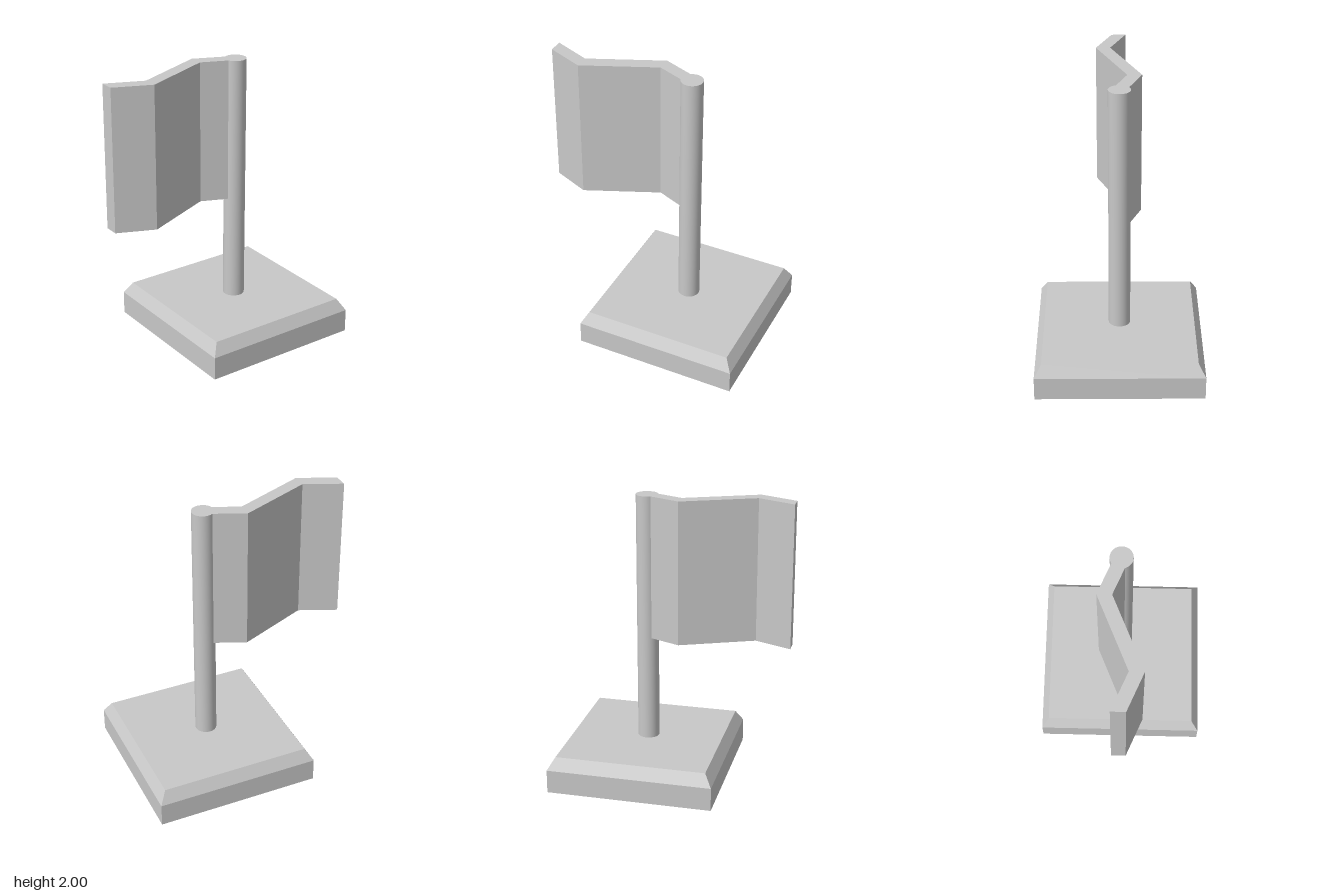
import * as THREE from 'three';

const POLE_X = 0.21;

export function createModel() {
  const group = new THREE.Group();
  const grey = new THREE.MeshStandardMaterial({ color: 0xc8c8c8 });
  grey.name = 'light grey';

  const add = (name, geometry) => {
    const mesh = new THREE.Mesh(geometry, grey);
    mesh.name = name;
    group.add(mesh);
    return mesh;
  };

  // Square base with a chamfered upper edge: a four-sided lathe
  const corner = (half) => half * Math.SQRT2;
  const profile = [
    [0, 0], [corner(0.575), 0], [corner(0.575), 0.165], [corner(0.525), 0.25], [0, 0.25],
  ].map(([r, y]) => new THREE.Vector2(r, y));
  const baseGeometry = new THREE.LatheGeometry(profile, 4, Math.PI / 4).toNonIndexed();
  baseGeometry.computeVertexNormals();
  add('base', baseGeometry).position.x = POLE_X;

  // Round pole
  const pole = add('pole', new THREE.CylinderGeometry(0.075, 0.075, 1.76, 48));
  pole.position.set(POLE_X, 1.12, 0);

  // Folded flag: zigzag centre line [x, z] thickened along z, extruded upwards
  const fold = [[-0.79, 0], [-0.535, 0.108], [-0.04, -0.102], [POLE_X, 0.003]];
  const half = 0.049;
  const outline = [
    ...fold.map(([x, z]) => new THREE.Vector2(x, -(z + half))),
    ...[...fold].reverse().map(([x, z]) => new THREE.Vector2(x, -(z - half))),
  ];
  const flagGeometry = new THREE.ExtrudeGeometry(new THREE.Shape(outline), {
    depth: 1, bevelEnabled: false,
  });
  flagGeometry.rotateX(-Math.PI / 2);
  add('flag', flagGeometry).position.y = 1;

  return group;
}
